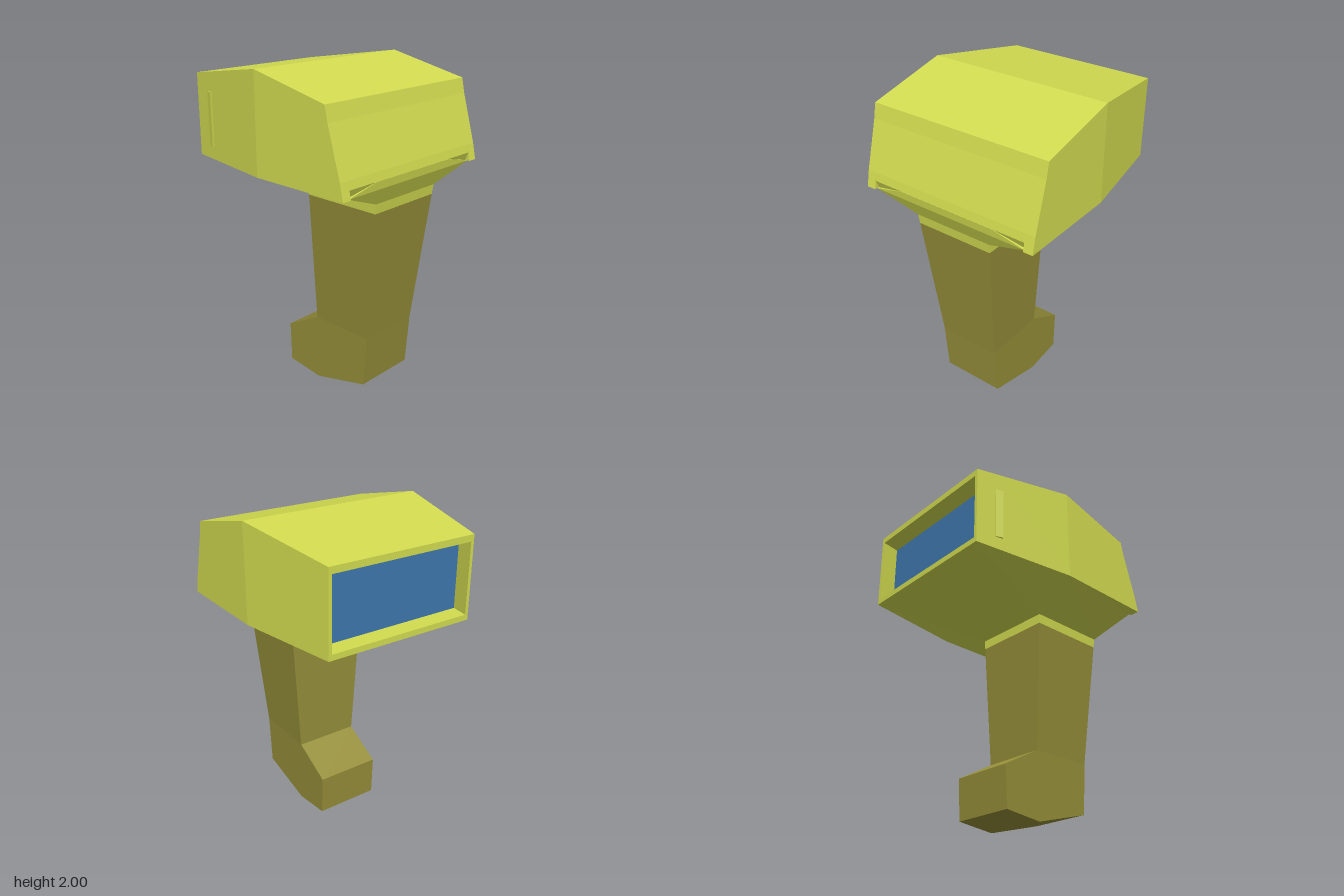
import * as THREE from 'three';
import { ConvexGeometry } from 'three/addons/geometries/ConvexGeometry.js';

const yellow = new THREE.MeshStandardMaterial({ color: 0xd3dc50, name: 'yellow shell' });
const olive = new THREE.MeshStandardMaterial({ color: 0x958e39, name: 'olive grip' });
const blue = new THREE.MeshStandardMaterial({ color: 0x3f78ae, name: 'blue screen' });

// Side profile of [z, y] points, spanning x from right() to left(), each a rule of (z, y).
function sideSolid(profile, left, right = (z, y) => -left(z, y)) {
  const shape = new THREE.Shape(profile.map(([z, y]) => new THREE.Vector2(z, y)));
  const geo = new THREE.ExtrudeGeometry(shape, { depth: 1, bevelEnabled: false });
  const p = geo.attributes.position;
  for (let i = 0; i < p.count; i++) {
    const z = p.getX(i), y = p.getY(i), t = p.getZ(i);
    p.setXYZ(i, THREE.MathUtils.lerp(left(z, y), right(z, y), t), y, z);
  }
  geo.computeVertexNormals();
  return geo;
}

export function createModel() {
  const model = new THREE.Group();
  model.name = 'handheldScanner';
  const add = (parent, name, geo, mat) => {
    const mesh = new THREE.Mesh(geo, mat);
    mesh.name = name;
    parent.add(mesh);
    return mesh;
  };

  const head = new THREE.Group();
  head.name = 'head';
  model.add(head);

  // Head is full width in front and tapers toward the back
  const headHalf = (z) => 0.59 + Math.min(z, 0) * 0.165;
  const roofY = (z) => 2 + z * 0.146;
  const NOTCH = 0.53;
  const faceTop = [[0.63, 1.5], [0.545, 1.79], [0.525, 1.88], [0, 2], [0, 1.4]];

  // Front half: notched middle with a full-depth cheek on each side
  add(head, 'frontShell', sideSolid([[0.62, 1.4], [0.64, 1.45], ...faceTop], () => NOTCH), yellow);
  const cheek = [[0.652, 1.4], ...faceTop];
  add(head, 'leftCheek', sideSolid(cheek, headHalf, () => NOTCH), yellow);
  add(head, 'rightCheek', sideSolid(cheek, () => -NOTCH, (z) => -headHalf(z)), yellow);

  // Rear half ends at the recess floor
  const IN = -0.53, BACK = -0.65, SILL = 1.435, LINTEL = 1.865;
  add(head, 'rearShell',
    sideSolid([[0, 1.4], [0, 2], [IN, roofY(IN)], [IN, 1.4]], headHalf), yellow);

  // Rim around the screen recess
  add(head, 'rimTop',
    sideSolid([[IN, LINTEL], [IN, roofY(IN)], [BACK, 1.905], [BACK, LINTEL]], headHalf), yellow);
  add(head, 'rimBottom',
    sideSolid([[IN, 1.4], [IN, SILL], [BACK, SILL], [BACK, 1.4]], headHalf), yellow);
  const jamb = [[IN, SILL], [IN, LINTEL], [BACK, LINTEL], [BACK, SILL]];
  const inner = (z) => headHalf(z) - 0.02;
  add(head, 'rimLeft', sideSolid(jamb, headHalf, inner), yellow);
  add(head, 'rimRight', sideSolid(jamb, (z) => -inner(z), (z) => -headHalf(z)), yellow);
  const screen = add(head, 'screen',
    new THREE.BoxGeometry(2 * inner(IN), LINTEL - SILL, 0.008), blue);
  screen.position.set(0, (SILL + LINTEL) / 2, IN - 0.003);

  // Small upright ridge on the right side
  add(head, 'sideRidge', sideSolid([[-0.48, 1.48], [-0.48, 1.81], [-0.525, 1.81], [-0.525, 1.48]],
    () => -0.48, (z) => z > -0.5 ? -0.522 : -0.507), yellow);

  // Funnel from the head down to the neck
  const funnel = [];
  for (const s of [-1, 1]) {
    for (const [x, y, z] of [[0.32, 1.45, 0.642], [NOTCH, 1.4, 0.635], [0.59, 1.4, 0],
      [0.48, 1.4, BACK], [0.26, 1.3, 0.59], [0.26, 1.3, 0.07]]) {
      funnel.push(new THREE.Vector3(s * x, y, z));
    }
  }
  add(head, 'funnel', new ConvexGeometry(funnel), yellow);

  // Neck band and tapered grip, narrower toward the foot
  const gripHalf = (z, y) => 0.203 + Math.max(y - 0.42, 0) * 0.0645;
  add(model, 'neckBand',
    sideSolid([[0.583, 1.24], [0.59, 1.3], [0.07, 1.3], [0.07, 1.24]], gripHalf), yellow);
  add(model, 'grip',
    sideSolid([[0.495, 0.42], [0.583, 1.24], [0.07, 1.24], [0.08, 0.42]], gripHalf), olive);
  add(model, 'foot', sideSolid([[0.47, 0.1], [0.495, 0.42], [0.08, 0.42], [-0.17, 0.285],
    [-0.16, 0.03], [0.09, 0]], gripHalf), olive);

  return model;
}
